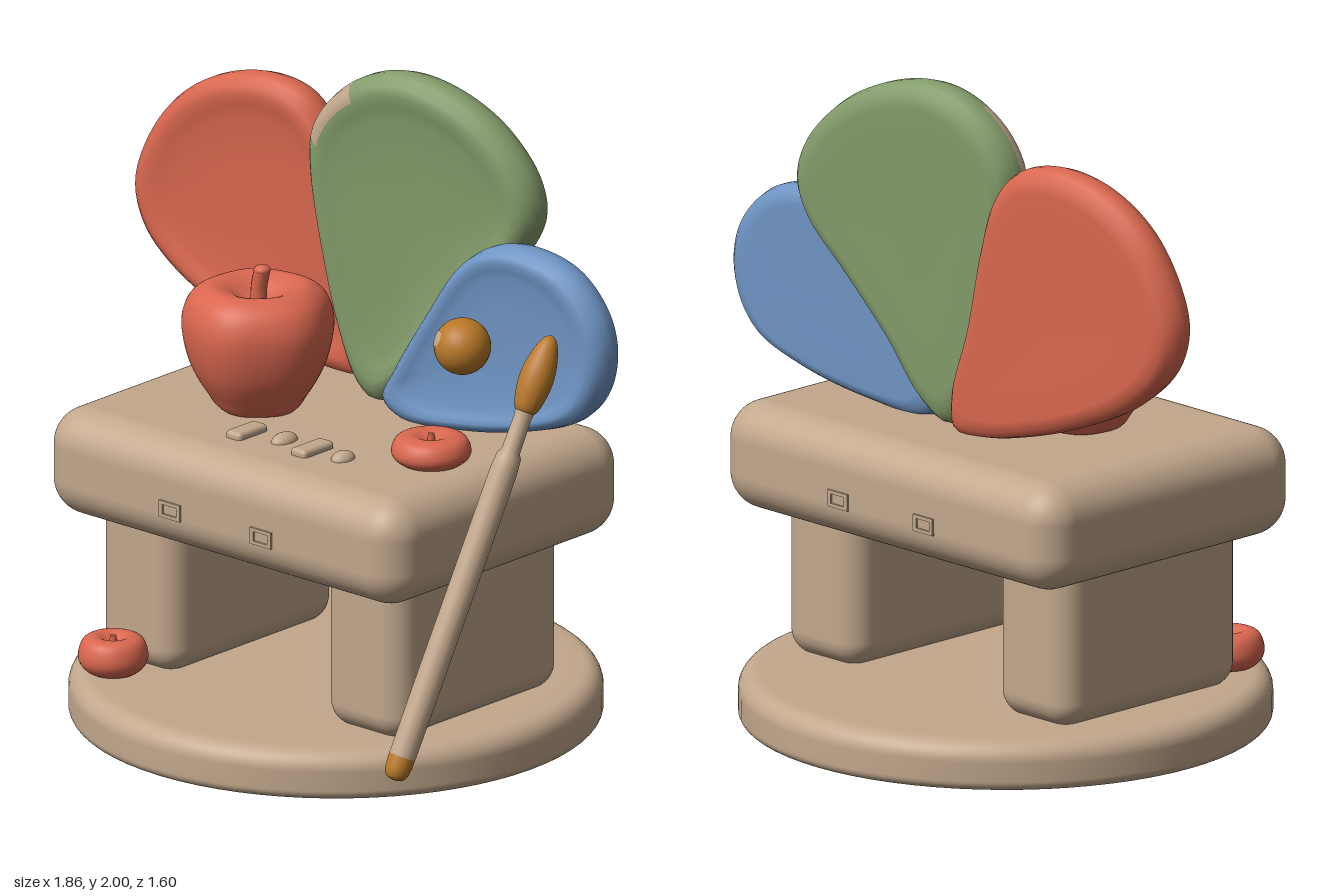
import * as THREE from 'three';
import { RoundedBoxGeometry } from 'three/addons/geometries/RoundedBoxGeometry.js';

const mat = (name, color) => {
  const m = new THREE.MeshStandardMaterial({ color });
  m.name = name;
  return m;
};
const V2 = (p) => new THREE.Vector2(p[0], p[1]);
const V3 = (p) => new THREE.Vector3(...p);

// Lathe through a smoothed profile of [radius, height] points
function lathe(points, segments = 48, smooth = 0) {
  const pts = points.map(V2);
  const profile = smooth ? new THREE.SplineCurve(pts).getPoints(smooth) : pts;
  profile.forEach((p) => { p.x = Math.max(p.x, 0); });
  return new THREE.LatheGeometry(profile, segments);
}

// Cushioned plate with a dished face: rings of one outline, from back centre to front centre
function petalGeometry(outline, thickness, zAt, isPatch = () => false) {
  const curve = new THREE.CatmullRomCurve3(outline.map(([x, y]) => new THREE.Vector3(x, y, 0)).reverse(), true);
  const n = 96;
  const edge = curve.getSpacedPoints(n).slice(0, n);
  const c = edge.reduce((s, p) => s.add(p), new THREE.Vector3()).divideScalar(n);
  const rings = [[0, -0.46], [0.5, -0.46], [0.84, -0.5], [0.93, -0.45], [0.98, -0.3], [1, -0.08],
    [1, 0.1], [0.98, 0.32], [0.93, 0.46], [0.87, 0.5], [0.8, 0.44], [0.7, 0.36], [0.4, 0.31], [0, 0.3]];
  const pos = [], main = [], patch = [];
  for (const [s, d] of rings) {
    for (const p of edge) {
      const x = c.x + (p.x - c.x) * s, y = c.y + (p.y - c.y) * s;
      pos.push(x, y, zAt(x) + d * thickness);
    }
  }
  for (let i = 0; i < rings.length - 1; i++) {
    for (let j = 0; j < n; j++) {
      const k = (j + 1) % n, a = i * n + j, b = i * n + k;
      const list = i >= 6 && i <= 8 && isPatch(edge[j]) ? patch : main;
      if (i > 0) list.push(a, b, b + n);
      if (i < rings.length - 2) list.push(a, b + n, a + n);
      else list.push(a, b, a + n);
      if (i === 0) list.push(a, b + n, a + n);
    }
  }
  const g = new THREE.BufferGeometry();
  g.setAttribute('position', new THREE.Float32BufferAttribute(pos, 3));
  g.setIndex([...main, ...patch]);
  g.addGroup(0, main.length, 0);
  g.addGroup(main.length, patch.length, 1);
  g.computeVertexNormals();
  return g;
}

export function createModel() {
  const tan = mat('clay tan', 0xc2a78c);
  const red = mat('apple red', 0xd9674f);
  const green = mat('leaf green', 0x849c6b);
  const blue = mat('sky blue', 0x6f95c5);
  const ochre = mat('ochre', 0xb87828);
  const model = new THREE.Group();
  const add = (name, geometry, material, position = [0, 0, 0], parent = model) => {
    const m = new THREE.Mesh(geometry, material);
    m.name = name;
    m.position.set(...position);
    parent.add(m);
    return m;
  };

  // Round base
  const basePts = [[0, 0], [0.77, 0]];
  for (let i = 0; i <= 8; i++) {
    const a = -Math.PI / 2 + (i / 8) * Math.PI / 2;
    basePts.push([0.77 + 0.03 * Math.cos(a), 0.03 + 0.03 * Math.sin(a)]);
  }
  for (let i = 0; i <= 8; i++) {
    const a = (i / 8) * Math.PI / 2;
    basePts.push([0.74 + 0.06 * Math.cos(a), 0.09 + 0.06 * Math.sin(a)]);
  }
  basePts.push([0.7, 0.152], [0, 0.152]);
  add('base', lathe(basePts, 72), tan);

  // Slab legs and table top
  for (const [name, x] of [['rightLeg', -0.445], ['leftLeg', 0.46]]) {
    add(name, new RoundedBoxGeometry(0.315, 0.56, 0.745, 6, 0.08), tan, [x, 0.42, 0.035]);
  }
  add('tableTop', new RoundedBoxGeometry(1.43, 0.335, 1.055, 8, 0.115), tan, [0.007, 0.775, 0.017]);

  // Rimmed slots on the front and back of the table
  const slot = new THREE.Shape([[-0.042, -0.026], [0.042, -0.026], [0.042, 0.026], [-0.042, 0.026]].map(V2));
  slot.holes.push(new THREE.Path([[-0.028, -0.015], [-0.028, 0.015], [0.028, 0.015], [0.028, -0.015]].map(V2)));
  const slotGeo = new THREE.ExtrudeGeometry(slot, { depth: 0.012, bevelEnabled: false });
  for (const x of [-0.175, 0.19]) {
    add('frontSlot', slotGeo, tan, [x, 0.74, 0.539]);
    add('backSlot', slotGeo, tan, [x, 0.74, -0.517]);
  }

  // Row of raised keys: alternating bars and ovals
  for (const [x, z, depth, oval] of [[-0.085, 0.305, 0.13, false], [0.04, 0.275, 0.1, true],
    [0.165, 0.29, 0.135, false], [0.28, 0.28, 0.085, true]]) {
    const g = oval ? new THREE.SphereGeometry(1, 20, 12).scale(0.032, 0.028, depth / 2)
      : new RoundedBoxGeometry(0.062, 0.05, depth, 3, 0.014);
    add('key', g, tan, [x, 0.94, z]);
  }

  // Fan of three petals
  const redOutline = [[-0.93, 1.42], [-0.9, 1.55], [-0.8, 1.71], [-0.65, 1.815], [-0.47, 1.855], [-0.33, 1.82],
    [-0.25, 1.72], [-0.2, 1.55], [-0.15, 1.3], [-0.09, 1.08], [-0.1, 0.98], [-0.2, 0.97], [-0.4, 1.01],
    [-0.6, 1.08], [-0.77, 1.17], [-0.89, 1.29]];
  const greenOutline = [[0.02, 0.95], [-0.04, 1.0], [-0.1, 1.15], [-0.16, 1.4], [-0.2, 1.65], [-0.195, 1.78],
    [-0.13, 1.89], [-0.02, 1.97], [0.1, 2.0], [0.25, 1.975], [0.41, 1.89], [0.53, 1.75], [0.56, 1.63],
    [0.52, 1.52], [0.38, 1.36], [0.22, 1.17], [0.1, 1.0]];
  const blueOutline = [[0.09, 0.99], [0.13, 1.08], [0.25, 1.28], [0.38, 1.47], [0.48, 1.545], [0.6, 1.57],
    [0.78, 1.53], [0.89, 1.42], [0.925, 1.3], [0.9, 1.17], [0.82, 1.07], [0.65, 1.0], [0.4, 0.95], [0.16, 0.94]];
  add('redPetal', petalGeometry(redOutline, 0.125, (x) => -0.17 - 0.14 * (x + 0.9)), red);
  add('greenPetal', petalGeometry(greenOutline, 0.135, (x) => -0.15 - 0.2 * (x + 0.16),
    (p) => p.x < -0.05 && p.y > 1.78), [green, tan]);
  add('bluePetal', petalGeometry(blueOutline, 0.125, (x) => -0.14 - 0.08 * (x - 0.12)), blue);

  // Apple with five soft lobes and a bent stem
  const apple = new THREE.Group();
  apple.name = 'apple';
  apple.position.set(-0.23, 0.94, 0.09);
  model.add(apple);
  const body = lathe([[0, 0], [0.11, 0], [0.155, 0.05], [0.2, 0.13], [0.224, 0.22], [0.225, 0.29], [0.2, 0.35],
    [0.15, 0.383], [0.1, 0.375], [0.05, 0.345], [0, 0.325]], 60, 50);
  const bp = body.attributes.position;
  for (let i = 0; i < bp.count; i++) {
    const x = bp.getX(i), z = bp.getZ(i);
    const k = 1 + 0.025 * Math.cos(5 * Math.atan2(z, x) - 0.6);
    bp.setXYZ(i, x * k, bp.getY(i), z * k);
  }
  body.computeVertexNormals();
  add('appleBody', body, red, [0, 0, 0], apple);
  const stemPath = new THREE.CatmullRomCurve3([[0, 0.31, 0], [0.002, 0.38, 0], [0.014, 0.435, 0]].map(V3));
  add('appleStem', new THREE.TubeGeometry(stemPath, 12, 0.025, 12), red, [0, 0, 0], apple);
  add('appleStemTip', new THREE.SphereGeometry(0.026, 16, 10).scale(1, 0.6, 1), red, [0.014, 0.435, 0], apple);

  // Two small flattened fruits, on the table and on the base
  const fruit = lathe([[0, 0], [0.6, 0.02], [0.93, 0.25], [1, 0.55], [0.85, 0.9], [0.5, 1], [0.2, 0.86], [0, 0.78]], 36, 30);
  for (const [name, r, h, at] of [['tableFruit', 0.12, 0.095, [0.495, 0.935, 0.125]],
    ['baseFruit', 0.105, 0.118, [-0.45, 0.15, 0.495]]]) {
    add(name, fruit, red, at).scale.set(r, h, r);
    add(name + 'Stem', new THREE.CylinderGeometry(0.01, 0.012, 0.03, 10), red, [at[0], at[1] + h * 0.88, at[2]]);
  }

  // Ball on the blue petal, with a pale spot
  const ballAt = [0.49, 1.27, -0.02];
  add('ball', new THREE.SphereGeometry(0.086, 32, 20), ochre, ballAt);
  const spot = add('ballSpot', new THREE.SphereGeometry(0.0875, 16, 6, 0, Math.PI * 2, 0, 0.3), tan, ballAt);
  spot.quaternion.setFromUnitVectors(V3([0, 1, 0]), V3([-0.5, 0.35, 0.75]).normalize());

  // Leaning paintbrush
  const foot = V3([0.745, 0.11, 0.57]), tip = V3([0.853, 1.39, -0.015]);
  const brush = new THREE.Group();
  brush.name = 'paintbrush';
  brush.position.copy(foot);
  brush.quaternion.setFromUnitVectors(V3([0, 1, 0]), tip.clone().sub(foot).normalize());
  model.add(brush);
  add('brushEnd', lathe([[0, 0], [0.025, 0.006], [0.038, 0.03], [0.041, 0.075]], 24, 16), ochre, [0, 0, 0], brush);
  add('brushHandle', lathe([[0.041, 0.075], [0.042, 0.3], [0.042, 0.98], [0.038, 1.03], [0.029, 1.045],
    [0.027, 1.15], [0.034, 1.2]], 24), tan, [0, 0, 0], brush);
  add('brushBristles', lathe([[0, 1.16], [0.034, 1.175], [0.05, 1.24], [0.051, 1.3], [0.038, 1.36],
    [0.02, 1.4], [0, 1.412]], 24, 30), ochre, [0, 0, 0], brush);

  return model;
}
